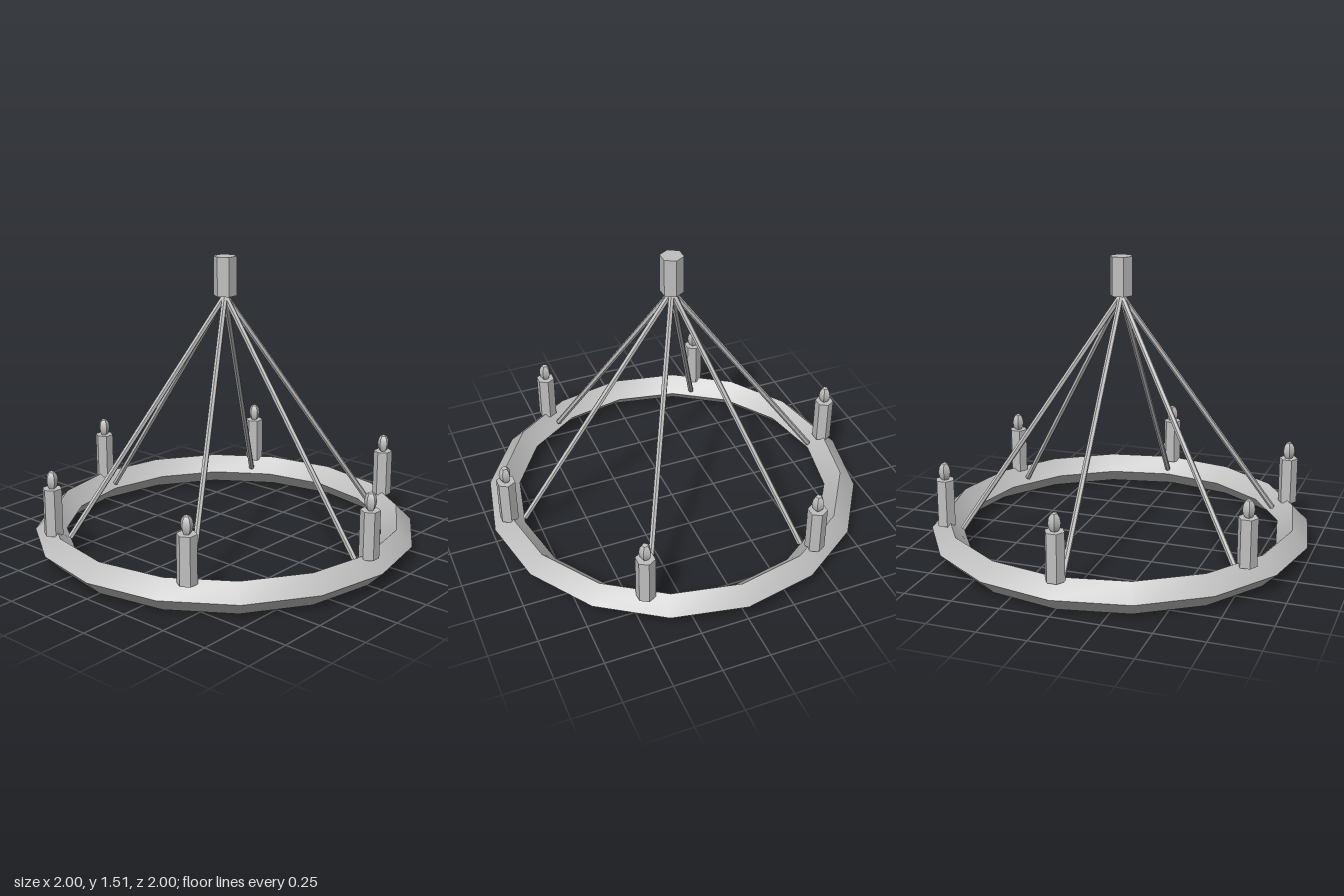
import * as THREE from 'three';
import { toCreasedNormals } from 'three/addons/utils/BufferGeometryUtils.js';

const CREASE = 0.6;
const RING_R = 0.918, RING_T = 0.082;

export function createModel() {
  const model = new THREE.Group();
  model.name = 'chandelier';
  const metal = new THREE.MeshStandardMaterial({ color: 0xbfbfbf });
  metal.name = 'plain grey';

  const add = (parent, name, geometry) => {
    const mesh = new THREE.Mesh(toCreasedNormals(geometry, CREASE), metal);
    mesh.name = name;
    parent.add(mesh);
    return mesh;
  };

  // Ring with a diamond cross-section
  const ring = new THREE.TorusGeometry(RING_R, RING_T, 4, 16).rotateX(Math.PI / 2);
  add(model, 'ring', ring).position.y = RING_T;

  // Hexagonal ceiling mount
  add(model, 'ceilingMount', new THREE.CylinderGeometry(0.06, 0.06, 0.2, 6)).position.y = 1.415;

  // Six hanging rods and six candles
  const top = new THREE.Vector2(0, 1.315), end = new THREE.Vector2(0.835, 0.115);
  const length = top.distanceTo(end);
  const tilt = Math.atan2(end.x - top.x, top.y - end.y);
  for (let i = 0; i < 6; i++) {
    const angle = (i * Math.PI) / 3;

    const arm = new THREE.Group();
    arm.name = 'rodArm';
    arm.rotation.y = angle;
    const rod = new THREE.CylinderGeometry(0.015, 0.015, length, 6).rotateY(Math.PI / 2);
    rod.rotateZ(tilt).translate((top.x + end.x) / 2, (top.y + end.y) / 2, 0);
    add(arm, 'rod', rod);
    model.add(arm);

    const candle = new THREE.Group();
    candle.name = 'candle';
    candle.position.set(RING_R * Math.cos(angle), 0.147, RING_R * Math.sin(angle));
    add(candle, 'candleStick', new THREE.CylinderGeometry(0.05, 0.05, 0.245, 6).translate(0, 0.1225, 0));
    const flame = new THREE.SphereGeometry(0.032, 5, 6).rotateY(Math.PI / 2).scale(1, 1.6, 1);
    add(candle, 'flame', flame).position.y = 0.286;
    model.add(candle);
  }
  return model;
}
